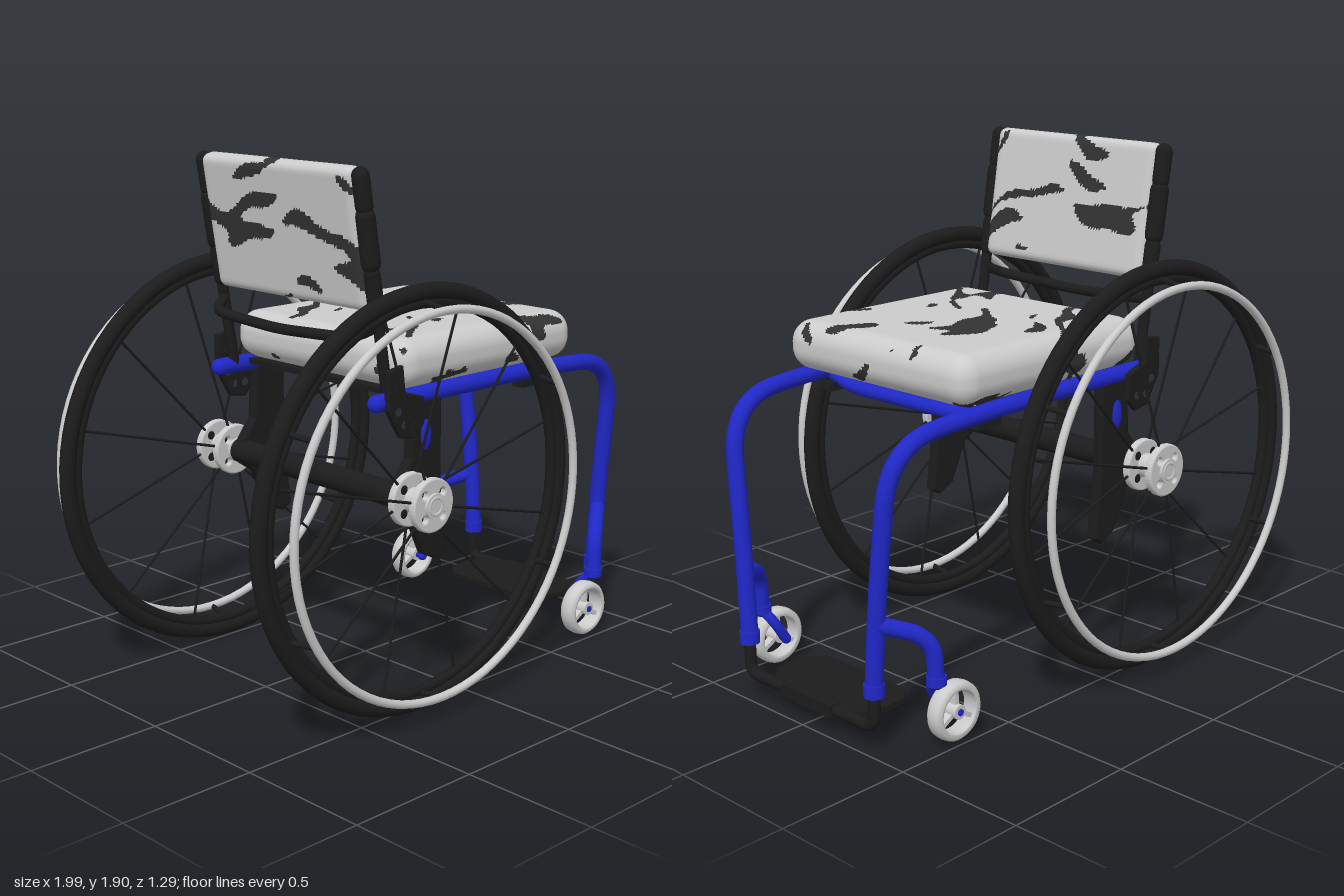
import * as THREE from 'three';

const V = (x, y, z) => new THREE.Vector3(x, y, z);
const paint = (color, side = THREE.FrontSide) => new THREE.MeshStandardMaterial({ color, side });
const grey = paint(0xcccccc), black = paint(0x1c1c1c), blue = paint(0x2028c8), dark = paint(0x333333);

function add(parent, name, geometry, material, x = 0, y = 0, z = 0) {
  const mesh = new THREE.Mesh(geometry, material);
  mesh.name = name;
  mesh.position.set(x, y, z);
  parent.add(mesh);
  return mesh;
}

// Tube through points with rounded corners and domed ends
function tube(parent, name, pts, r, material, bend = 0.08, segs = 48) {
  const path = new THREE.CurvePath();
  let from = pts[0];
  for (let i = 1; i < pts.length - 1; i++) {
    const p = pts[i];
    const toward = (q) => p.clone().lerp(q, Math.min(0.49, bend / p.distanceTo(q)));
    const a = toward(pts[i - 1]), b = toward(pts[i + 1]);
    path.add(new THREE.LineCurve3(from, a));
    path.add(new THREE.QuadraticBezierCurve3(a, p, b));
    from = b;
  }
  const end = pts[pts.length - 1];
  path.add(new THREE.LineCurve3(from, end));
  add(parent, name, new THREE.TubeGeometry(path, pts.length > 2 ? segs : 1, r, 14), material);
  for (const p of [pts[0], end]) add(parent, name + 'End', new THREE.SphereGeometry(r, 14, 8), material, p.x, p.y, p.z);
}

// Cylinder lying along z
const axleCyl = (r, len, n = 28) => new THREE.CylinderGeometry(r, r, len, n).rotateX(Math.PI / 2);

// Flat plate in the xy plane, centred on its thickness
function plate(shape, depth, bevel = 0.006) {
  return new THREE.ExtrudeGeometry(shape, {
    depth: depth - 2 * bevel, bevelEnabled: bevel > 0, bevelSize: bevel, bevelThickness: bevel, bevelSegments: 2, curveSegments: 20,
  }).translate(0, 0, -depth / 2 + bevel);
}
const outline = (pts) => new THREE.Shape(pts.map(([x, y]) => new THREE.Vector2(x, y)));
function hole(x, y, r) {
  const p = new THREE.Path();
  p.absarc(x, y, r, 0, Math.PI * 2, true);
  return p;
}

// Soft box split into light and dark triangles by a streaky pattern
function camoCushion(parent, name, w, h, d, r, pattern) {
  const step = 0.0125, n = (s) => Math.round(s / step);
  const geo = new THREE.BoxGeometry(w, h, d, n(w), n(h), n(d)).toNonIndexed();
  const pos = geo.attributes.position, half = V(w / 2 - r, h / 2 - r, d / 2 - r);
  const p = V(), core = V(), off = V();
  const sets = [{ p: [], n: [] }, { p: [], n: [] }];
  for (let t = 0; t < pos.count; t += 3) {
    const c = V();
    for (let k = 0; k < 3; k++) c.add(p.fromBufferAttribute(pos, t + k));
    c.divideScalar(3);
    const set = sets[pattern(c) > 0 ? 1 : 0];
    for (let k = 0; k < 3; k++) {
      p.fromBufferAttribute(pos, t + k);
      core.copy(p).clamp(half.clone().negate(), half);
      off.copy(p).sub(core).normalize();
      set.n.push(off.x, off.y, off.z);
      core.addScaledVector(off, r);
      set.p.push(core.x, core.y, core.z);
    }
  }
  sets.forEach((s, i) => {
    const g = new THREE.BufferGeometry();
    g.setAttribute('position', new THREE.Float32BufferAttribute(s.p, 3));
    g.setAttribute('normal', new THREE.Float32BufferAttribute(s.n, 3));
    add(parent, name + (i ? 'Patches' : 'Fabric'), g, i ? dark : grey);
  });
}
function streaks(u, v, w) {
  const a = u + 0.12 * Math.sin(v * 9 + w * 7) + 0.03 * Math.sin(v * 37);
  const b = v + 0.1 * Math.sin(u * 8 + 1.3) + 0.02 * Math.sin(u * 31 + w * 20);
  return Math.sin(a * 8 + 0.6) * Math.sin(b * 13 + w * 9 + 0.8) + 0.45 * Math.sin(a * 17 + b * 11) + 0.35 * Math.sin(b * 46 + a * 9);
}

// Large wheel with hand rim
function driveWheel(s) {
  const g = new THREE.Group();
  g.name = 'driveWheel';
  g.position.set(-0.24, 0.757, s * 0.52);
  add(g, 'tyre', new THREE.TorusGeometry(0.725, 0.03, 12, 80), black);
  add(g, 'rim', new THREE.TorusGeometry(0.688, 0.02, 8, 80), black);
  add(g, 'handRim', new THREE.TorusGeometry(0.677, 0.015, 10, 80), grey, 0, 0, s * 0.113);
  const polar = (r, a, z) => V(r * Math.cos(a), r * Math.sin(a), z);
  for (let i = 0; i < 6; i++) {
    const a = Math.PI / 6 + i * Math.PI / 3;
    tube(g, 'handRimStrut', [polar(0.695, a, 0), polar(0.677, a, s * 0.11)], 0.01, black);
  }
  for (let i = 0; i < 12; i++) {
    const a = Math.PI / 12 + i * Math.PI / 6;
    tube(g, 'spoke', [polar(0.07, a, i % 2 ? 0.045 : -0.045), polar(0.68, a, 0)], 0.005, black);
  }
  const disc = new THREE.Shape().absarc(0, 0, 0.09, 0, Math.PI * 2);
  for (let i = 0; i < 4; i++) disc.holes.push(hole(0.06 * Math.cos((i + 0.5) * Math.PI / 2), 0.06 * Math.sin((i + 0.5) * Math.PI / 2), 0.019));
  for (const z of [-0.05, 0.05]) {
    add(g, 'hubFlange', plate(disc, 0.03), grey, 0, 0, z);
    add(g, 'hubBacking', axleCyl(0.085, 0.008), black, 0, 0, z * 0.8);
  }
  add(g, 'hubBarrel', axleCyl(0.045, 0.15), grey);
  add(g, 'hubRing', new THREE.TorusGeometry(0.03, 0.008, 8, 24), grey, 0, 0, s * 0.07);
  return g;
}

// Small front wheel
function casterWheel(s) {
  const g = new THREE.Group();
  g.name = 'casterWheel';
  g.position.set(0.73, 0.117, s * 0.465);
  const section = [[0.078, -0.03], [0.092, -0.034], [0.103, -0.022], [0.106, 0], [0.103, 0.022], [0.092, 0.034], [0.078, 0.03], [0.078, -0.03]];
  add(g, 'casterTyre', new THREE.LatheGeometry(section.map(([x, y]) => new THREE.Vector2(x, y)), 40).rotateX(Math.PI / 2), paint(0xcccccc, THREE.DoubleSide));
  add(g, 'casterHub', axleCyl(0.026, 0.06, 20), grey);
  for (let i = 0; i < 3; i++) {
    const a = Math.PI / 2 + i * Math.PI * 2 / 3;
    add(g, 'casterSpoke', new THREE.BoxGeometry(0.07, 0.016, 0.03), grey, 0.05 * Math.cos(a), 0.05 * Math.sin(a)).rotation.z = a;
  }
  return g;
}

export function createModel() {
  const model = new THREE.Group();
  model.name = 'wheelchair';

  // Seat cushion and sling
  const seat = new THREE.Group();
  seat.name = 'seatCushion';
  seat.position.set(0.2, 1.212, 0);
  camoCushion(seat, 'seat', 0.92, 0.18, 0.9, 0.08, (c) =>
    streaks(c.x, c.z, c.y * 2) + 0.9 * Math.exp(-((c.x - 0.08) ** 2) / 0.05 - c.z ** 2 / 0.07) - 0.8);
  model.add(seat);
  add(model, 'seatSling', new THREE.BoxGeometry(0.72, 0.02, 0.8), black, 0.13, 1.11, 0);

  // Reclined backrest with padded posts
  const back = new THREE.Group();
  back.name = 'backrest';
  back.position.set(-0.375, 1.655, 0);
  back.rotation.z = 0.16;
  const panel = new THREE.Group();
  panel.name = 'backPanel';
  camoCushion(panel, 'back', 0.075, 0.49, 0.77, 0.03, (c) =>
    streaks(c.z * 0.8 + 0.3, c.y * 1.1, c.x) + 0.7 * Math.exp(-((c.y - 0.04) ** 2) / 0.025 - c.z ** 2 / 0.08) - 0.75);
  back.add(panel);
  for (const s of [1, -1]) {
    tube(back, 'backPost', [V(0, -0.56, s * 0.405), V(0, 0.2, s * 0.405)], 0.02, black);
    for (const [y, h, r] of [[-0.17, 0.13, 0.029], [0, 0.19, 0.034], [0.165, 0.13, 0.031]])
      add(back, 'postSleeve', new THREE.CapsuleGeometry(r, h - r * 0.9, 4, 14), black, 0, y, s * 0.402);
  }
  model.add(back);
  tube(model, 'backBrace', [V(-0.33, 1.36, 0.4), V(-0.41, 1.325, 0.36), V(-0.42, 1.31, 0), V(-0.41, 1.325, -0.36), V(-0.33, 1.36, -0.4)], 0.019, black);

  // Cross members
  add(model, 'axleTube', axleCyl(0.045, 0.88), black, -0.24, 0.757, 0);
  tube(model, 'frontCrossTube', [V(0.48, 1.09, 0.41), V(0.48, 1.05, 0.3), V(0.48, 1.05, -0.3), V(0.48, 1.09, -0.41)], 0.026, blue);

  // Footrest
  tube(model, 'footrestTube', [V(0.96, 0.24, 0.325), V(0.96, 0.085, 0.325), V(0.96, 0.085, -0.325), V(0.96, 0.24, -0.325)], 0.021, black, 0.045);
  const foot = outline([[0.71, -0.2], [0.76, -0.25], [0.89, -0.25], [0.94, -0.2], [0.94, 0.2], [0.89, 0.25], [0.76, 0.25], [0.71, 0.2]]);
  add(model, 'footPlate', plate(foot, 0.03).rotateX(Math.PI / 2), black, 0, 0.09, 0);
  add(model, 'footPlateClamp', new THREE.BoxGeometry(0.07, 0.045, 0.26), black, 0.95, 0.085, 0);

  // Outlines of the side parts
  const guard = outline([[-0.18, 1.1], [-0.06, 1.1], [-0.06, 0.76], [-0.03, 0.52], [-0.06, 0.5], [-0.12, 0.53], [-0.19, 0.68], [-0.25, 0.72], [-0.25, 0.8], [-0.19, 0.88]]);
  const bracket = outline([[-0.33, 1.21], [-0.27, 1.22], [-0.26, 1.13], [-0.17, 1.1], [-0.17, 1.01], [-0.21, 0.97], [-0.27, 0.98], [-0.33, 1.08]]);
  bracket.holes.push(hole(-0.21, 1.02, 0.015), hole(-0.26, 1.02, 0.015), hole(-0.29, 1.07, 0.015));

  for (const s of [1, -1]) {
    model.add(driveWheel(s), casterWheel(s));

    // Side frame running forward and down to the foot
    tube(model, 'sideFrame', [V(-0.35, 1.1, s * 0.415), V(0.5, 1.1, s * 0.415), V(0.945, 1.07, s * 0.4), V(0.957, 0.55, s * 0.345), V(0.96, 0.23, s * 0.325)], 0.031, blue, 0.21, 72);
    add(model, 'legCollar', new THREE.CylinderGeometry(0.036, 0.036, 0.045, 20), blue, 0.96, 0.222, s * 0.325);

    // Caster arm, stem and fork
    tube(model, 'casterArm', [V(0.955, 0.455, s * 0.345), V(0.81, 0.4, s * 0.45), V(0.8, 0.24, s * 0.455)], 0.029, blue, 0.1);
    add(model, 'casterStem', new THREE.CylinderGeometry(0.035, 0.035, 0.03, 20), blue, 0.8, 0.245, s * 0.455);
    tube(model, 'casterFork', [V(0.8, 0.24, s * 0.455), V(0.785, 0.2, s * 0.405), V(0.73, 0.117, s * 0.408)], 0.019, blue, 0.05);
    add(model, 'casterAxle', axleCyl(0.012, 0.1, 14), blue, 0.73, 0.117, s * 0.45);

    // Axle plate, its inlay and the backrest bracket
    add(model, 'axlePlate', plate(guard, 0.045, 0.01), black, 0, 0, s * 0.415);
    add(model, 'plateInlay', new THREE.SphereGeometry(1, 20, 12), blue, -0.13, 0.96, s * 0.43).scale.set(0.03, 0.062, 0.016);
    add(model, 'backBracket', plate(bracket, 0.025), black, 0, 0, s * 0.45);
    add(model, 'bracketBolt', axleCyl(0.018, 0.06, 16), black, -0.29, 1.15, s * 0.435);
    add(model, 'crossTubeClamp', new THREE.BoxGeometry(0.11, 0.03, 0.05), black, 0.48, 1.045, s * 0.37);
  }
  return model;
}
